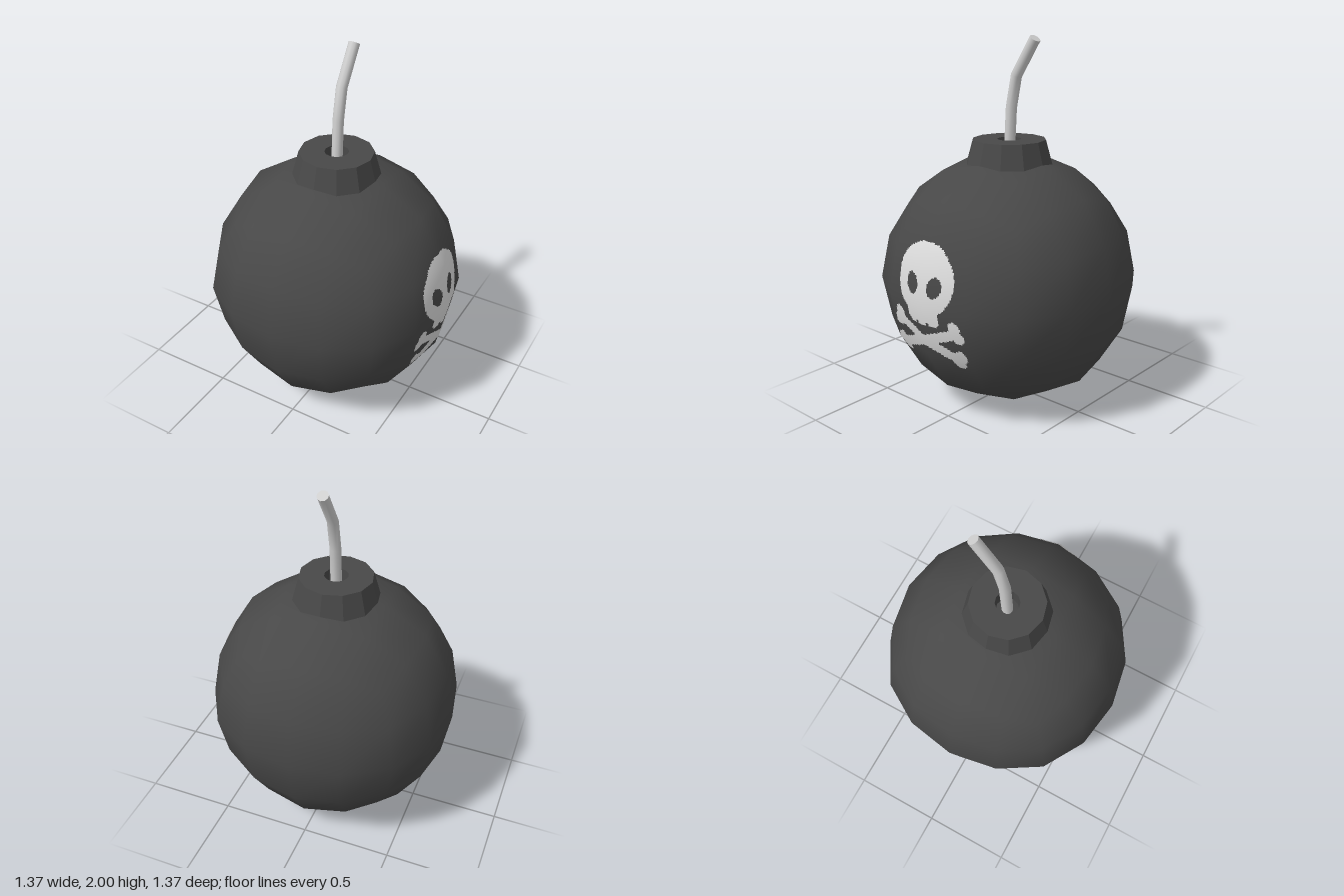
import * as THREE from 'three';
import { mergeVertices } from 'three/addons/utils/BufferGeometryUtils.js';

const iron = new THREE.MeshStandardMaterial({ color: 0x484848 });
iron.name = 'dark iron';
const paint = new THREE.MeshStandardMaterial({ color: 0xdcdcdc });
paint.name = 'white paint';
const cord = new THREE.MeshStandardMaterial({ color: 0xcfcfcf });
cord.name = 'grey cord';

function part(name, geometry, material) {
  const mesh = new THREE.Mesh(geometry, material);
  mesh.name = name;
  return mesh;
}

// Body: a cube grid rounded like a twice-subdivided cube.
// Each kind of grid point maps coordinate 1 -> p and 0.5 -> q.
function bodyGeometry() {
  const rounding = {
    '0,0,1': [0.8785, 0], '0,0.5,1': [0.819, 0.351], '0,1,1': [0.643, 0],
    '0.5,0.5,1': [0.764, 0.326], '0.5,1,1': [0.599, 0.302], '1,1,1': [0.509, 0],
  };
  let geo = new THREE.BoxGeometry(2, 2, 2, 4, 4, 4);
  geo.deleteAttribute('uv');
  geo.deleteAttribute('normal');
  geo = mergeVertices(geo);
  const pos = geo.attributes.position;
  for (let i = 0; i < pos.count; i++) {
    const v = [pos.getX(i), pos.getY(i), pos.getZ(i)];
    const key = v.map(Math.abs).sort((a, b) => a - b).join(',');
    const [p, q] = rounding[key];
    const move = (c) => Math.sign(c) * (Math.abs(c) === 1 ? p : c === 0 ? 0 : q) * 0.78;
    pos.setXYZ(i, ...v.map(move));
  }
  geo.translate(0, 0.688, 0);
  geo.computeVertexNormals();
  return geo;
}

// Collar: faceted ring with a hole for the fuse
function collarGeometry() {
  const profile = [[0.24, 1.305], [0.2, 1.45], [0.065, 1.45], [0.06, 1.35]];
  const geo = new THREE.LatheGeometry(profile.map(([r, y]) => new THREE.Vector2(r, y)), 12).toNonIndexed();
  geo.computeVertexNormals();
  return geo;
}

// Fuse: a cylinder whose rings follow a bent path of [y, z, tilt]
function fuseGeometry() {
  const path = [[1.35, 0, 0.06], [1.62, -0.015, 0.13], [1.79, -0.05, 0.4], [1.984, -0.175, 0.57]];
  const geo = new THREE.CylinderGeometry(0.03, 0.03, 1, 10, 3);
  const pos = geo.attributes.position;
  const nor = geo.attributes.normal;
  for (let i = 0; i < pos.count; i++) {
    const [y, z, tilt] = path[Math.round((pos.getY(i) + 0.5) * 3)];
    const s = Math.sin(tilt), c = Math.cos(tilt), r = pos.getZ(i);
    pos.setXYZ(i, pos.getX(i), y + r * s, z + r * c);
    const ny = nor.getY(i), nz = nor.getZ(i);
    nor.setXYZ(i, nor.getX(i), ny * c + nz * s, nz * c - ny * s);
  }
  return geo;
}

// Outline of the painted emblem, mirrored in z
const ellipse = (z, y, cz, cy, a, b) => ((z - cz) / a) ** 2 + ((y - cy) / b) ** 2 < 1;

function inSkull(z, y) {
  z = Math.abs(z);
  const tilt = 0.35, dz = z - 0.077, dy = y - 0.792;
  const eye = ellipse(dz * Math.cos(tilt) - dy * Math.sin(tilt),
    dz * Math.sin(tilt) + dy * Math.cos(tilt), 0, 0, 0.043, 0.055);
  if (eye) return false;
  const gap = y < 0.6 && Math.abs(z - 0.035) < 0.008;
  const jaw = z < 0.108 && y > 0.583 && y < 0.72 && !gap && z - y < -0.5;
  return jaw || ellipse(z, y, 0, 0.82, 0.194, 0.19);
}

function inBones(z, y) {
  z = Math.abs(z);
  const knobs = [[0.195, 0.602], [0.213, 0.553], [0.213, 0.443], [0.192, 0.404]];
  if (knobs.some(([kz, ky]) => ellipse(z, y, kz, ky, 0.036, 0.036))) return true;
  const across = Math.abs(Math.abs(y - 0.497) - z * 0.36) * 0.94;
  return z < 0.2 && across < 0.027;
}

// Painted patch: small cells projected from the +x side onto the body
function patchGeometry(body, inside) {
  const step = 0.008, cols = 65, rows = 84, z0 = -0.26, y0 = 0.361;
  const ray = new THREE.Raycaster();
  const toBody = new THREE.Vector3(-1, 0, 0);
  const positions = [], normals = [], index = [], known = new Map();
  const corner = (i, j) => {
    const key = i * 1000 + j;
    if (!known.has(key)) {
      const from = new THREE.Vector3(2, y0 + j * step, z0 + (i + 0.5) * step - 0.002);
      ray.set(from, toBody);
      const hit = ray.intersectObject(body)[0];
      known.set(key, positions.length / 3);
      positions.push(hit.point.x + 0.004, hit.point.y, hit.point.z);
      normals.push(...hit.normal.toArray());
    }
    return known.get(key);
  };
  for (let i = 0; i < cols; i++) {
    for (let j = 0; j < rows; j++) {
      if (!inside(z0 + (i + 1) * step - 0.002, y0 + (j + 0.5) * step)) continue;
      const a = corner(i, j), b = corner(i, j + 1), c = corner(i + 1, j + 1), d = corner(i + 1, j);
      index.push(a, b, c, a, c, d);
    }
  }
  const geo = new THREE.BufferGeometry();
  geo.setAttribute('position', new THREE.Float32BufferAttribute(positions, 3));
  geo.setAttribute('normal', new THREE.Float32BufferAttribute(normals, 3));
  geo.setIndex(index);
  return geo;
}

export function createModel() {
  const model = new THREE.Group();
  model.name = 'bomb';
  const body = part('body', bodyGeometry(), iron);
  model.add(
    body,
    part('collar', collarGeometry(), iron),
    part('fuse', fuseGeometry(), cord),
    part('paintedSkull', patchGeometry(body, inSkull), paint),
    part('paintedBones', patchGeometry(body, inBones), paint),
  );
  return model;
}
